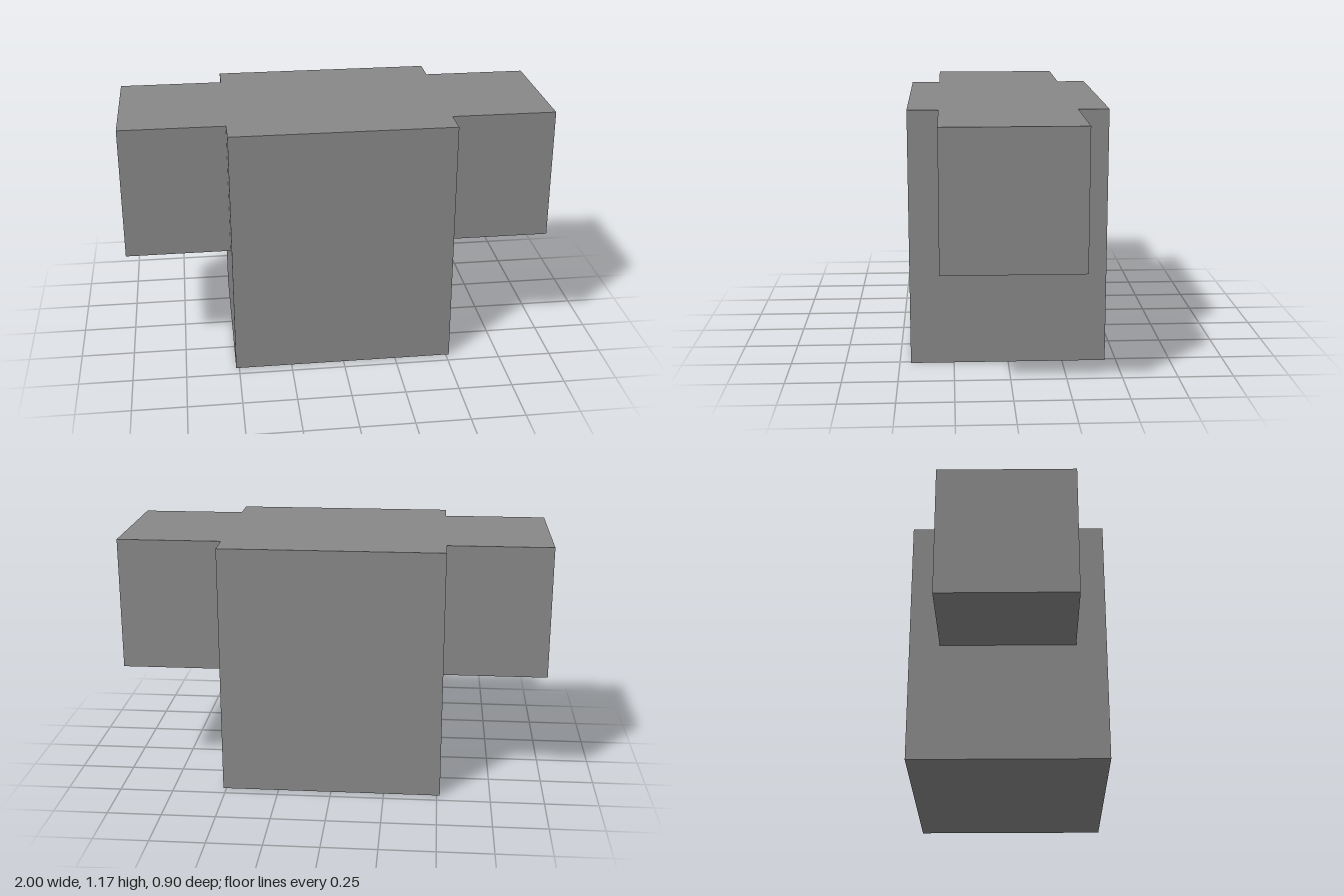
import * as THREE from 'three';

export function createModel() {
  const model = new THREE.Group();
  const grey = new THREE.MeshStandardMaterial({ color: 0x888888 });
  grey.name = 'grey';

  const top = 1.175;
  const bodyHalfWidth = 0.515;

  // Adds a box whose top is flush with the top of the model
  function addBlock(name, width, height, depth, x) {
    const mesh = new THREE.Mesh(new THREE.BoxGeometry(width, height, depth), grey);
    mesh.name = name;
    mesh.position.set(x, top - height / 2, 0);
    model.add(mesh);
  }

  // Central torso block
  addBlock('body', bodyHalfWidth * 2, top, 0.898, 0);

  // Short sleeves, one on each side
  const sleeveLength = 1 - bodyHalfWidth;
  for (const [name, side] of [['leftSleeve', 1], ['rightSleeve', -1]]) {
    addBlock(name, sleeveLength, 0.62, 0.62, side * (bodyHalfWidth + sleeveLength / 2));
  }

  return model;
}
